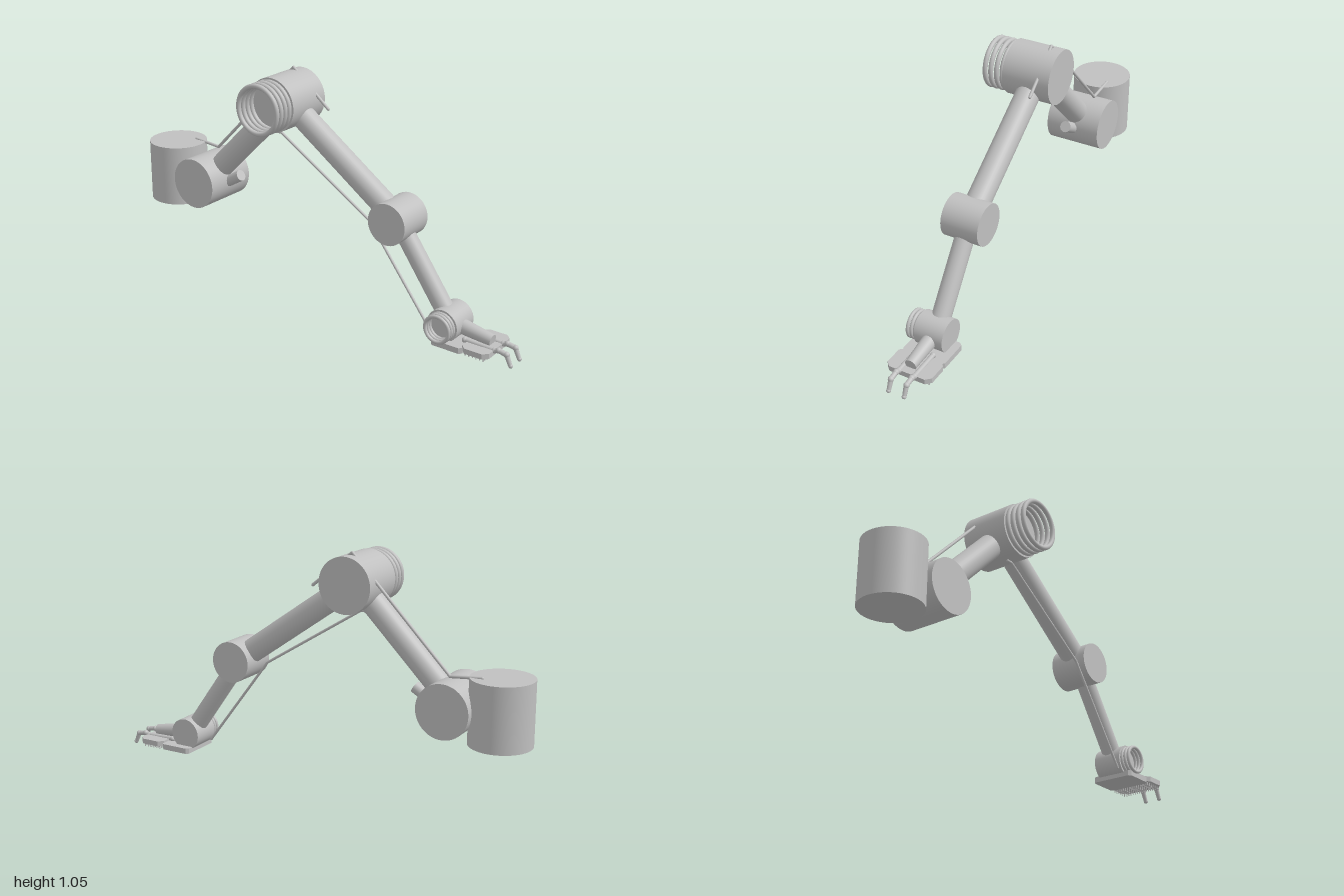
import * as THREE from 'three';

const ARM_Z = -0.04; // plane of the arm's centre line

export function createModel() {
  const group = new THREE.Group();
  const grey = new THREE.MeshStandardMaterial({ color: 0xc0c0c0 });
  grey.name = 'light machine grey';

  const add = (name, geometry, parent = group) => {
    const mesh = new THREE.Mesh(geometry, grey);
    mesh.name = name;
    parent.add(mesh);
    return mesh;
  };
  const v = (x, y, z = ARM_Z) => new THREE.Vector3(x, y, z);

  // cylinder running from a to b
  const rod = (name, a, b, r0, r1 = r0, sides = 32, parent = group) => {
    const dir = b.clone().sub(a);
    const mesh = add(name, new THREE.CylinderGeometry(r1, r0, dir.length(), sides), parent);
    mesh.position.copy(a).add(b).multiplyScalar(0.5);
    mesh.quaternion.setFromUnitVectors(new THREE.Vector3(0, 1, 0), dir.normalize());
    return mesh;
  };
  // joint drum lying along z
  const drum = (name, x, y, r, z0, z1) => rod(name, v(x, y, z0), v(x, y, z1), r, r, 64);
  // jointed chain of rods with rounded knuckles
  const chain = (name, points, r, knuckle = r) => {
    const part = new THREE.Group();
    part.name = name;
    group.add(part);
    points.forEach((p, i) => {
      if (i) rod(name + 'Segment', points[i - 1], p, r, r, 14, part);
      add(name + 'Joint', new THREE.SphereGeometry(knuckle, 14, 10), part).position.copy(p);
    });
  };
  // row of separate rings in front of a drum
  const rings = (name, x, y, radius, tube, zs) => zs.forEach((z) => {
    add(name, new THREE.TorusGeometry(radius, tube, 14, 56)).position.set(x, y, z);
  });

  // base and shoulder
  rod('base', v(-0.865, 0.31, -0.039), v(-0.865, 0.592, -0.039), 0.135, 0.135, 64);
  drum('shoulder', -0.66, 0.45, 0.118, -0.172, 0.087);
  rod('shoulderStub', v(-0.66, 0.39), v(-0.476, 0.496), 0.026);

  // arm segments
  rod('upperArm', v(-0.66, 0.45), v(-0.196, 0.914), 0.055);
  rod('forearm', v(-0.196, 0.914), v(0.396, 0.498), 0.054);
  rod('lowerArm', v(0.396, 0.498), v(0.675, 0.106), 0.042);

  // joints and their rings
  drum('elbow', -0.196, 0.914, 0.122, -0.15, 0.072);
  rings('elbowRing', -0.196, 0.914, 0.106, 0.011, [0.081, 0.108, 0.136, 0.164]);
  drum('middleJoint', 0.396, 0.498, 0.093, -0.128, 0.047);
  drum('wrist', 0.675, 0.106, 0.073, -0.106, 0.028);
  rings('wristRing', 0.675, 0.106, 0.058, 0.008, [0.033, 0.05, 0.068]);

  // tendon rods beside the arm
  chain('upperTendon', [
    v(-0.8, 0.594, -0.096), v(-0.66, 0.582, -0.096),
    v(-0.205, 1.046, -0.096), v(-0.015, 0.89, -0.096),
  ], 0.007);
  chain('lowerTendon', [
    v(-0.213, 0.777, 0.013), v(-0.187, 0.777, 0.013),
    v(0.29, 0.48, 0.013), v(0.61, 0.06, 0.013),
  ], 0.006);

  // hand: tapered knuckle, palm and front pad
  rod('handCore', v(0.675, 0.106), v(0.88, 0.076), 0.036, 0.026);

  // flat plate outlined in x and z with cut corners
  const plate = (name, x0, x1, z0, z1, y0, y1, cut) => {
    const s = new THREE.Shape([
      [x0 + cut, z0], [x1 - cut, z0], [x1, z0 + cut], [x1, z1 - cut],
      [x1 - cut, z1], [x0 + cut, z1], [x0, z1 - cut], [x0, z0 + cut],
    ].map(([x, z]) => new THREE.Vector2(x, -z)));
    const geo = new THREE.ExtrudeGeometry(s, { depth: y1 - y0, bevelEnabled: false });
    geo.rotateX(-Math.PI / 2).translate(0, y0, 0);
    return add(name, geo);
  };
  plate('palm', 0.638, 0.79, -0.14, 0.062, 0.024, 0.05, 0.012);
  plate('frontPad', 0.785, 0.912, -0.148, 0.065, 0.036, 0.06, 0.022);

  // small grip pegs under the front pad
  for (let i = 0; i < 6; i++) {
    for (let j = 0; j < 16; j++) {
      const x = 0.805 + i * 0.017;
      const z = -0.133 + j * 0.0121;
      rod('gripPeg', v(x, 0.02, z), v(x, 0.038, z), 0.0025, 0.0025, 6);
    }
  }

  // two clawed fingers
  for (const z of [-0.077, -0.003]) {
    chain('finger', [
      v(0.77, 0.06, z), v(0.91, 0.056, z), v(0.93, 0.062, z), v(0.968, 0.055, z),
    ], 0.011, 0.013);
    rod('fingerClaw', v(0.968, 0.055, z), v(0.988, 0.01, z), 0.011, 0.009, 14);
    add('fingerTip', new THREE.SphereGeometry(0.01, 14, 10)).position.set(0.989, 0.01, z);
  }
  return group;
}
